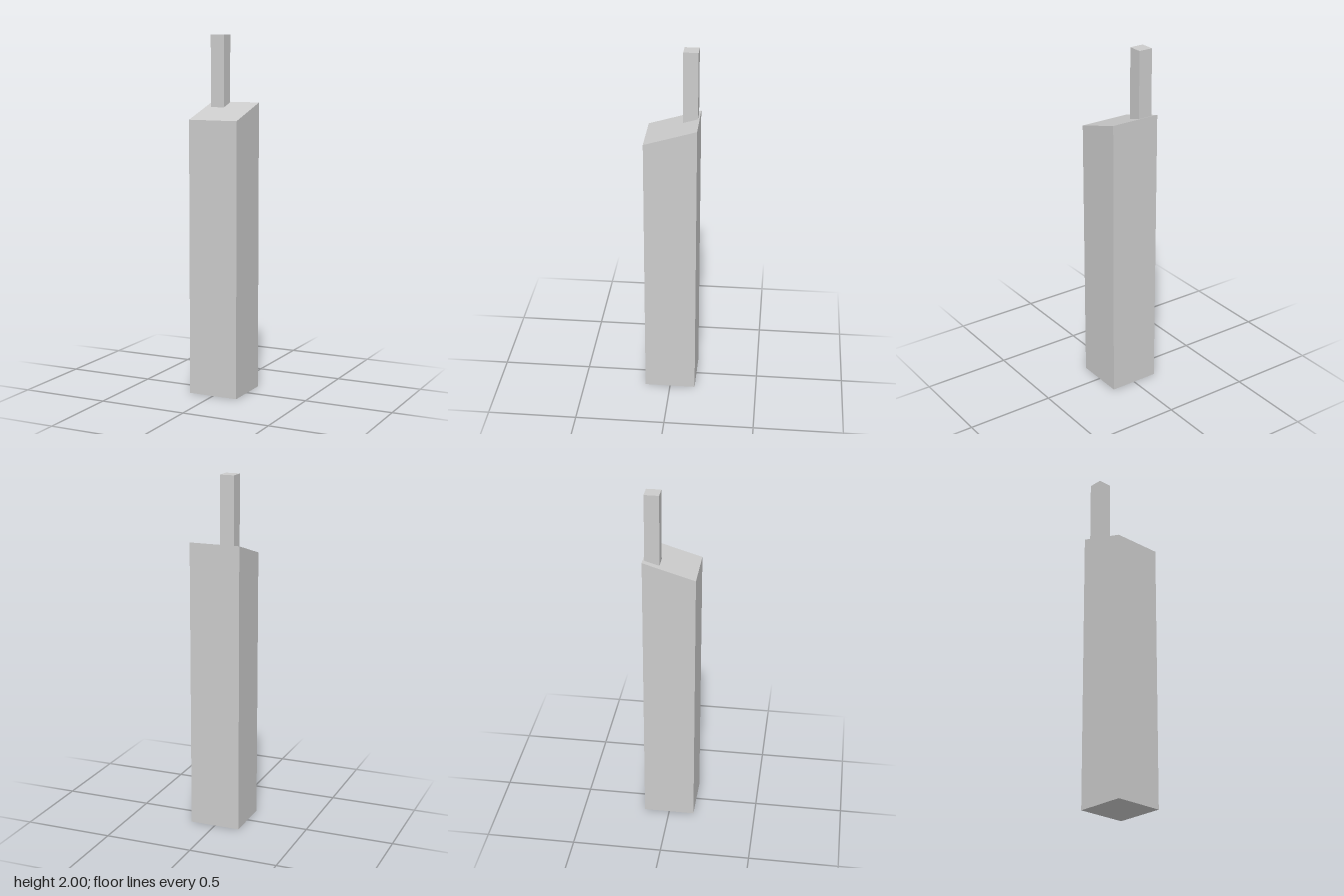
import * as THREE from 'three';

const HALF = 0.144;      // half the width of the square block
const FRONT_TOP = 1.54;  // height of the sloping top at the front
const BACK_TOP = 1.627;  // height of the sloping top at the back
const POST_TOP = 2;

// Height of the sloping top at depth z
const slopeY = (z) => THREE.MathUtils.mapLinear(z, -HALF, HALF, BACK_TOP, FRONT_TOP);

// Square column whose bottom and top heights follow functions of z
function column(name, size, x, z, bottom, top) {
  const geometry = new THREE.BoxGeometry(size, 1, size).translate(x, 0, z);
  const p = geometry.attributes.position;
  for (let i = 0; i < p.count; i++) {
    p.setY(i, (p.getY(i) > 0 ? top : bottom)(p.getZ(i)));
  }
  geometry.computeVertexNormals();
  const material = new THREE.MeshStandardMaterial({ color: 0xcccccc, flatShading: true });
  const mesh = new THREE.Mesh(geometry, material);
  mesh.name = name;
  return mesh;
}

export function createModel() {
  const group = new THREE.Group();
  group.name = 'tower';

  // Tall block with a top that rises towards the back
  group.add(column('towerBlock', HALF * 2, 0, 0, () => 0, slopeY));

  // Thin post standing on the slope, near the back right corner
  group.add(column('roofPost', 0.081, -0.07, -0.0945, slopeY, () => POST_TOP));

  return group;
}
